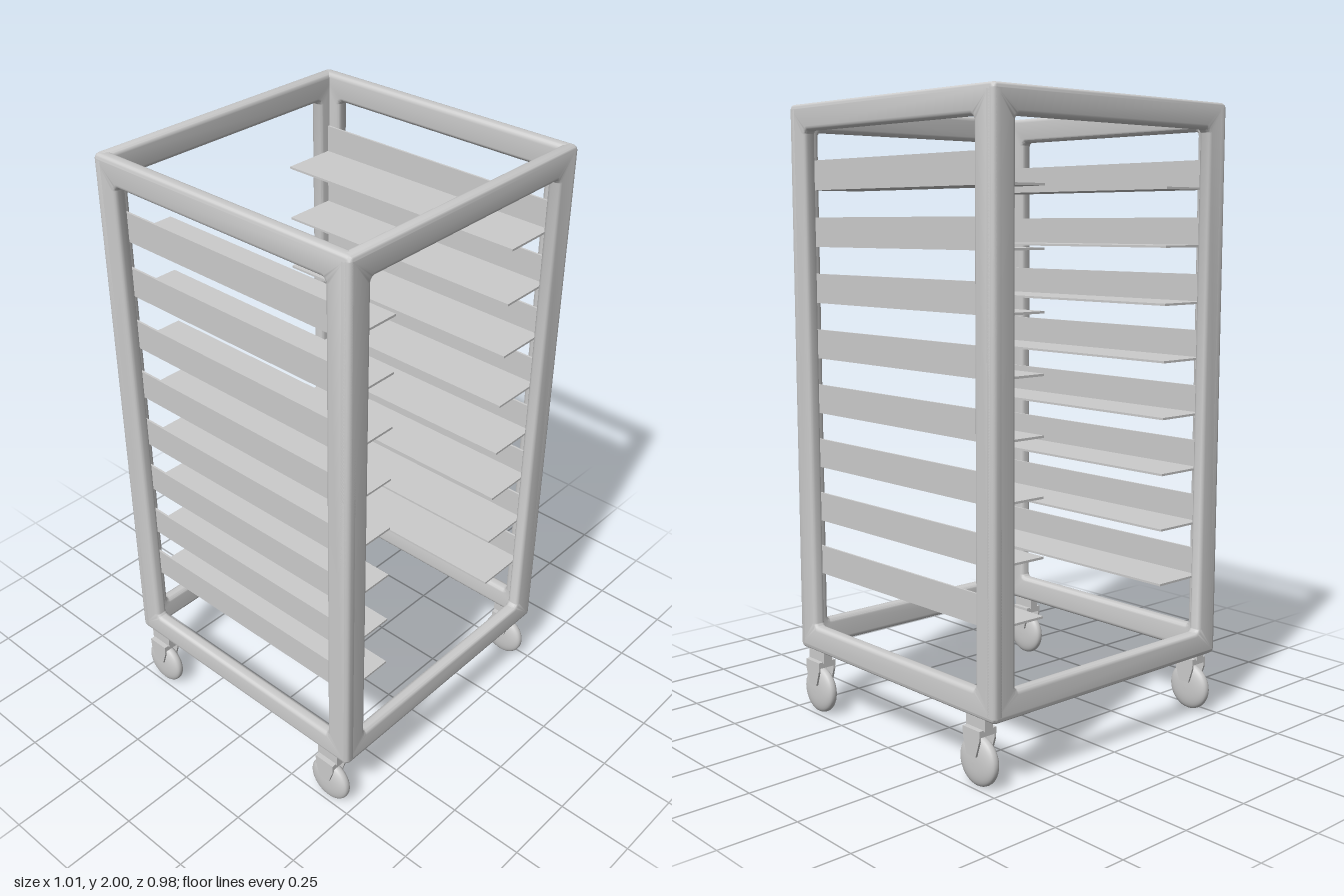
import * as THREE from 'three';
import { toCreasedNormals } from 'three/addons/utils/BufferGeometryUtils.js';

const HALF = 0.492;              // half width and depth of the frame
const BOTTOM = 0.21, TOP = 2.0;  // frame heights
const RAIL = 0.085, WALL = 0.043, ROUND = 0.014;

const metal = new THREE.MeshStandardMaterial({ color: 0xcccccc });

function add(parent, name, geometry, x = 0, y = 0, z = 0) {
  const mesh = new THREE.Mesh(geometry, metal);
  mesh.name = name;
  mesh.position.set(x, y, z);
  parent.add(mesh);
  return mesh;
}

// Rounded rectangle centred on the origin
function roundedRect(path, w, h, r) {
  const x = w / 2, y = h / 2;
  path.moveTo(-x + r, -y);
  path.lineTo(x - r, -y);
  path.absarc(x - r, -y + r, r, -Math.PI / 2, 0);
  path.lineTo(x, y - r);
  path.absarc(x - r, y - r, r, 0, Math.PI / 2);
  path.lineTo(-x + r, y);
  path.absarc(-x + r, y - r, r, Math.PI / 2, Math.PI);
  path.lineTo(-x, -y + r);
  path.absarc(-x + r, -y + r, r, Math.PI, Math.PI * 1.5);
  return path;
}

// One upright side of the frame with a window and soft edges, outer face at z = HALF
function framePanelGeometry() {
  const w = HALF * 2, h = TOP - BOTTOM;
  const shape = roundedRect(new THREE.Shape(), w, h, 0.018);
  shape.holes.push(roundedRect(new THREE.Path(), w - 2 * RAIL, h - 2 * RAIL, 0.015));
  const geo = new THREE.ExtrudeGeometry(shape, {
    depth: WALL - 2 * ROUND, bevelEnabled: true, bevelThickness: ROUND,
    bevelSize: ROUND, bevelOffset: -ROUND, bevelSegments: 4, curveSegments: 5,
  });
  geo.translate(0, 0, HALF - WALL + ROUND);
  return toCreasedNormals(geo, 0.6);
}

// Wheel with a softly domed section, axle along x
function wheelGeometry(radius, halfWidth) {
  const points = [];
  for (let i = 0; i <= 20; i++) {
    const a = -Math.PI / 2 + (i / 20) * Math.PI;
    const s = Math.sin(a), c = Math.max(Math.cos(a), 0);
    const r = i === 0 || i === 20 ? 0 : radius * Math.pow(c, 0.8);
    points.push(new THREE.Vector2(r, halfWidth * Math.sign(s) * Math.pow(Math.abs(s), 0.8)));
  }
  return new THREE.LatheGeometry(points, 36).rotateZ(-Math.PI / 2);
}

// Tapered fork cheek in the y-z plane, centred on x = 0
function cheekGeometry(thickness) {
  const shape = new THREE.Shape();
  shape.moveTo(-0.036, 0.18);
  shape.lineTo(-0.036, 0.15);
  shape.lineTo(-0.02, 0.1);
  shape.lineTo(0.02, 0.1);
  shape.lineTo(0.036, 0.15);
  shape.lineTo(0.036, 0.18);
  const geo = new THREE.ExtrudeGeometry(shape, { depth: thickness, bevelEnabled: false });
  return geo.translate(0, 0, -thickness / 2).rotateY(Math.PI / 2);
}

export function createModel() {
  const model = new THREE.Group();
  model.name = 'trayRack';

  // Open frame: four windowed sides sharing the corner posts
  const frame = new THREE.Group();
  frame.name = 'frame';
  const panel = framePanelGeometry();
  ['frontFrame', 'leftFrame', 'backFrame', 'rightFrame'].forEach((name, i) => {
    add(frame, name, panel, 0, (TOP + BOTTOM) / 2, 0).rotation.y = i * Math.PI / 2;
  });
  model.add(frame);

  // Angle-section tray runners, eight on each side
  const inner = HALF - WALL, sheet = 0.007, depth = inner * 2;
  const ledge = new THREE.BoxGeometry(inner - 0.26, sheet, depth);
  const flange = new THREE.BoxGeometry(sheet, 0.094, depth);
  for (const side of [-1, 1]) {
    for (let i = 0; i < 8; i++) {
      const runner = new THREE.Group();
      runner.name = side > 0 ? 'leftRunner' : 'rightRunner';
      runner.position.y = 0.474 + i * 0.18;
      add(runner, 'ledge', ledge, side * (inner + 0.26) / 2, 0, 0);
      add(runner, 'flange', flange, side * (inner - sheet / 2), 0.047 - sheet / 2, 0);
      model.add(runner);
    }
  }

  // Casters under the four corners
  const wheel = wheelGeometry(0.077, 0.026);
  const cheek = cheekGeometry(0.007);
  const crown = new THREE.BoxGeometry(0.066, 0.02, 0.074);
  const mount = new THREE.BoxGeometry(0.032, 0.042, 0.084);
  for (const x of [-1, 1]) {
    for (const z of [-1, 1]) {
      const caster = new THREE.Group();
      caster.name = 'caster';
      caster.position.set(x * 0.472, 0, z * 0.405);
      add(caster, 'wheel', wheel, 0, 0.077, 0);
      add(caster, 'forkCrown', crown, 0, 0.172, 0);
      add(caster, 'mount', mount, 0, 0.199, 0);
      for (const s of [-1, 1]) add(caster, 'forkCheek', cheek, s * 0.0295, 0, 0);
      model.add(caster);
    }
  }
  return model;
}
